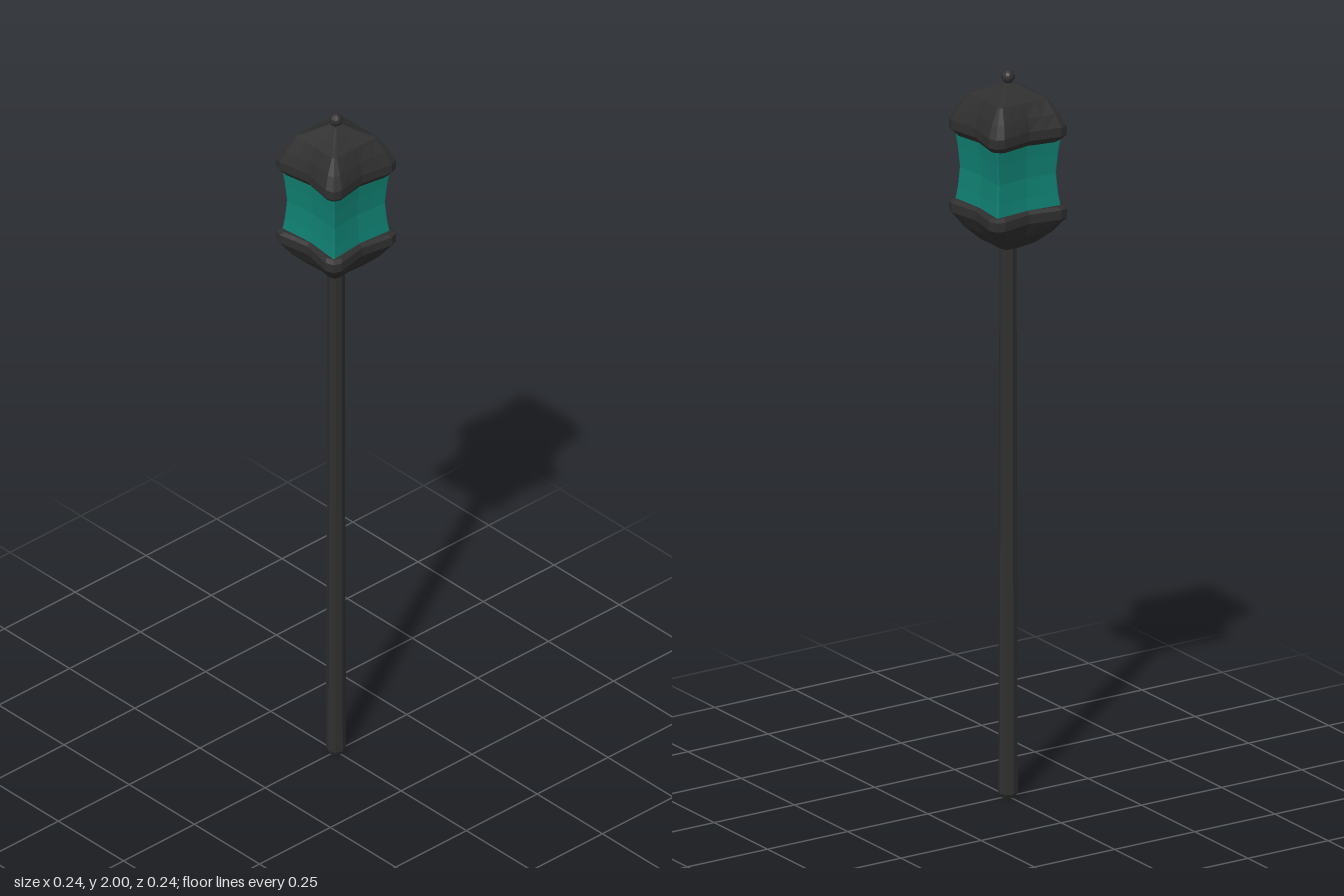
import * as THREE from 'three';

const iron = new THREE.MeshStandardMaterial({ color: 0x2f2f2f, flatShading: true });
const glass = new THREE.MeshStandardMaterial({ color: 0x108072, flatShading: true });

// Square ring with pinched sides and blunted corners; bevel 0 gives sharp corners
function ring(y, half, pinch, bevel) {
  const e = half * (1 - bevel), c = half * (1 - bevel * 0.26);
  const side = [
    [-e, half], [-e / 2, half * (1 - pinch * 0.52)], [0, half * (1 - pinch)],
    [e / 2, half * (1 - pinch * 0.52)], [e, half], [c, c],
  ];
  const points = [];
  for (let k = 0; k < 4; k++) {
    for (const [u, v] of side) {
      let x = u, z = v;
      for (let r = 0; r < k; r++) [x, z] = [z, -x];
      points.push([x, y, z]);
    }
  }
  return points;
}

// Skin a stack of rings from bottom to top and close both ends
function loft(levels) {
  const rings = levels.map((l) => ring(...l));
  const n = rings[0].length, last = rings.length - 1;
  const positions = rings.flat(2);
  const index = [];
  for (let j = 0; j < last; j++) {
    for (let i = 0; i < n; i++) {
      const a = j * n + i, b = j * n + (i + 1) % n;
      index.push(a, b, b + n, a, b + n, a + n);
    }
  }
  const bottom = positions.length / 3, top = bottom + 1;
  positions.push(0, levels[0][0], 0, 0, levels[last][0], 0);
  for (let i = 0; i < n; i++) {
    const next = (i + 1) % n;
    index.push(bottom, next, i, top, last * n + i, last * n + next);
  }
  const geometry = new THREE.BufferGeometry();
  geometry.setAttribute('position', new THREE.Float32BufferAttribute(positions, 3));
  geometry.setIndex(index);
  const flat = geometry.toNonIndexed();
  flat.computeVertexNormals();
  return flat;
}

export function createModel() {
  const group = new THREE.Group();
  const add = (name, geometry, material = iron) => {
    const mesh = new THREE.Mesh(geometry, material);
    mesh.name = name;
    group.add(mesh);
    return mesh;
  };

  // Slim tapering pole with a bevelled foot
  const poleProfile = [[0, 0], [0.019, 0], [0.026, 0.012], [0.025, 0.5], [0.0235, 0.85], [0.023, 1.53], [0, 1.53]];
  add('pole', new THREE.LatheGeometry(poleProfile.map(([r, y]) => new THREE.Vector2(r, y)), 8));

  // Cup under the lantern: y, half width, side pinch, corner bevel
  add('lanternCup', loft([
    [1.515, 0.025, 0, 0.25],
    [1.532, 0.056, 0.05, 0.25],
    [1.565, 0.09, 0.1, 0.25],
    [1.605, 0.118, 0.14, 0.25],
    [1.63, 0.118, 0.14, 0.25],
    [1.638, 0.108, 0.13, 0.25],
  ]));

  // Waisted glass with concave panes
  add('lanternGlass', loft([
    [1.625, 0.101, 0.09, 0.04],
    [1.67, 0.095, 0.09, 0.04],
    [1.725, 0.091, 0.09, 0.04],
    [1.78, 0.095, 0.09, 0.04],
    [1.83, 0.101, 0.09, 0.04],
  ]), glass);

  // Domed roof
  add('lanternRoof', loft([
    [1.816, 0.103, 0.13, 0.25],
    [1.833, 0.118, 0.14, 0.25],
    [1.858, 0.118, 0.14, 0.25],
    [1.892, 0.102, 0.1, 0.22],
    [1.93, 0.077, 0.03, 0.12],
    [1.945, 0.048, 0.02, 0.12],
    [1.967, 0.014, 0, 0.2],
  ]));

  // Finial
  add('finialNeck', new THREE.CylinderGeometry(0.007, 0.01, 0.02, 8)).position.y = 1.968;
  add('finialBall', new THREE.SphereGeometry(0.018, 10, 8)).position.y = 1.982;

  return group;
}
